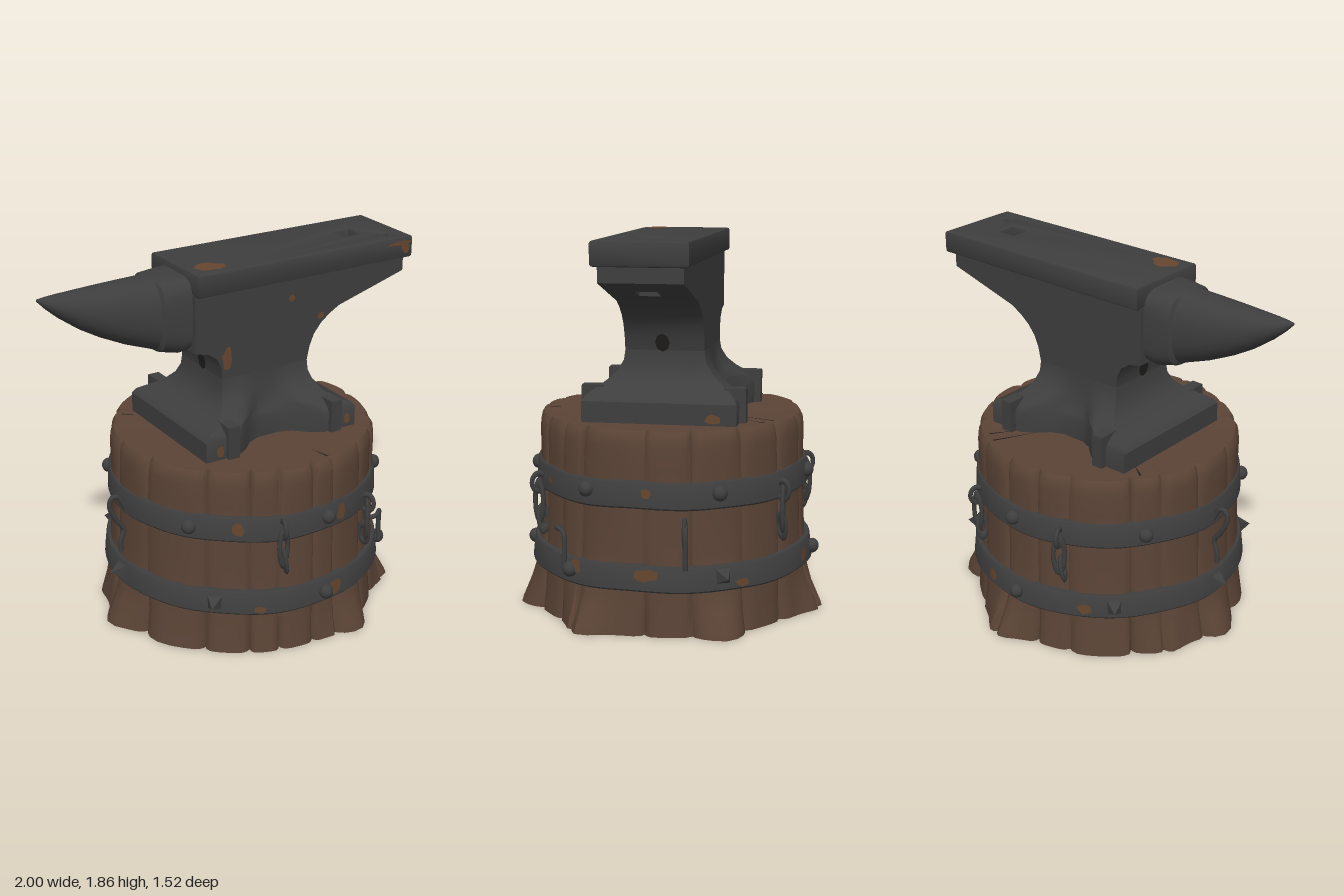
import * as THREE from 'three';
import { toCreasedNormals } from 'three/addons/utils/BufferGeometryUtils.js';

const V = (x, y, z) => new THREE.Vector3(x, y, z);
const rad = (d) => d * Math.PI / 180;
const outline = (pts) => pts.map((p) => new THREE.Vector2(...p));
const OVAL = 0.975; // the log is slightly narrower in depth

// Skin a list of equal-length rings, with both ends closed.
function loft(rings, crease = 0.6) {
  const n = rings[0].length, pos = [], idx = [];
  rings.forEach((r) => r.forEach((p) => pos.push(p.x, p.y, p.z)));
  const last = (rings.length - 1) * n;
  const ends = [rings[0], rings[rings.length - 1]].map((r) => {
    const c = r.reduce((a, p) => a.add(p), V(0, 0, 0)).divideScalar(n);
    pos.push(c.x, c.y, c.z);
    return pos.length / 3 - 1;
  });
  for (let j = 0; j < n; j++) {
    const k = (j + 1) % n;
    for (let i = 0; i < last; i += n) idx.push(i + j, i + k, i + n + k, i + j, i + n + k, i + n + j);
    idx.push(k, j, ends[0], last + j, last + k, ends[1]);
  }
  const g = new THREE.BufferGeometry();
  g.setAttribute('position', new THREE.Float32BufferAttribute(pos, 3));
  g.setIndex(idx);
  return toCreasedNormals(g, crease);
}

export function createModel() {
  const mat = (name, color) => new THREE.MeshStandardMaterial({ name, color });
  const wood = mat('wood', 0x5b4436), iron = mat('iron', 0x3e3e3e);
  const rust = mat('rust', 0x67472f), dark = mat('darkHollow', 0x1f1d1c);
  const model = new THREE.Group();
  const add = (parent, name, geo, m, x = 0, y = 0, z = 0) => {
    const mesh = new THREE.Mesh(geo, m);
    mesh.name = name;
    mesh.position.set(x, y, z);
    parent.add(mesh);
    return mesh;
  };
  let seed = 11;
  const rnd = () => (seed = (seed * 16807) % 2147483647) / 2147483647;

  // ---- Stump: broad bark staves, flaring into a few roots ----
  const stump = new THREE.Group();
  stump.name = 'stump';
  stump.position.x = 0.1;
  model.add(stump);
  const staves = Array.from({ length: 19 }, () => 0.5 + rnd());
  const total = staves.reduce((a, b) => a + b, 0);
  const samples = [];
  let start = 0;
  staves.forEach((w) => {
    const out = (rnd() - 0.5) * 0.014, foot = rnd() * 0.02;
    for (const u of [0, 0.04, 0.14, 0.3, 0.5, 0.7, 0.86, 0.96])
      samples.push({ a: (start + w * u) / total * Math.PI * 2, groove: Math.pow(Math.abs(2 * u - 1), 7), out, foot });
    start += w;
  });
  // roots: angle, reach
  const roots = [[172, 0.085], [120, 0.08], [64, 0.095], [20, 0.08], [-90, 0.075], [-118, 0.035], [-65, 0.02]];
  const rootFlare = (a) => Math.max(...roots.map(([d, reach]) => {
    const e = Math.atan2(Math.sin(a - rad(d)), Math.cos(a - rad(d)));
    return reach * Math.exp(-e * e / 0.022);
  }));
  // rows: height, radius, groove depth, root amount
  const barkRows = [[0, 0.708, 0.035, 1], [0.03, 0.706, 0.035, 0.92], [0.12, 0.7, 0.03, 0.5], [0.22, 0.698, 0.02, 0.1],
    [0.4, 0.69, 0.012, 0], [0.6, 0.683, 0.01, 0], [0.8, 0.68, 0.016, 0], [0.9, 0.681, 0.024, 0],
    [0.95, 0.675, 0.03, 0], [0.973, 0.66, 0.032, 0], [0.968, 0.6, 0.006, 0]];
  add(stump, 'barkedLog', loft(barkRows.map(([y, r, g, f]) => samples.map((s) => {
    const q = r + s.out - g * s.groove + f * (s.foot + rootFlare(s.a));
    return V(q * Math.sin(s.a), y, OVAL * q * Math.cos(s.a));
  })), 0.7), wood);

  // Splits in the cut face
  [[152, 0.26], [145, 0.13], [-125, 0.1], [10, 0.12]].forEach(([d, len]) => {
    const s = new THREE.Shape(outline([[-0.006, 0.62], [0.006, 0.62], [0, 0.62 - len]]));
    const crack = add(stump, 'split', new THREE.ShapeGeometry(s).rotateX(-Math.PI / 2), dark, 0, 0.974, 0);
    crack.rotation.y = rad(d) + Math.PI;
  });

  // ---- Iron hoops ----
  const hoop = (name, y0, y1, r0, r1) => {
    const p = [[r0 - 0.05, y0], [r0 - 0.006, y0], [r0, y0 + 0.008], [r1, y1 - 0.008], [r1 - 0.006, y1], [r1 - 0.05, y1], [r0 - 0.05, y0]];
    const g = new THREE.LatheGeometry(outline(p), 72);
    const a = g.attributes.position;
    for (let i = 0; i < a.count; i++) {
      const t = Math.atan2(a.getX(i), a.getZ(i));
      a.setY(i, a.getY(i) + 0.003 * Math.sin(5 * t) + 0.003 * Math.sin(9 * t + 1) - 0.006 * Math.sin(t));
      a.setZ(i, a.getZ(i) * OVAL);
    }
    add(stump, name, toCreasedNormals(g, 0.6), iron);
  };
  hoop('upperHoop', 0.615, 0.745, 0.703, 0.696);
  hoop('lowerHoop', 0.225, 0.348, 0.73, 0.718);

  // A frame on the stump wall: local +z points outward
  const onWall = (name, deg, y, r) => {
    const g = new THREE.Group();
    g.name = name;
    g.rotation.y = rad(deg);
    g.position.set(r * Math.sin(rad(deg)), y, OVAL * r * Math.cos(rad(deg)));
    stump.add(g);
    return g;
  };
  const rivet = (deg, y, r) => add(onWall('rivet', deg, y, r), 'rivetHead', new THREE.SphereGeometry(0.037, 14, 10).scale(1, 1, 0.9), iron);
  [6, 64, 119, 177, 235, 307].forEach((d) => rivet(d, 0.685, 0.705));
  [4, 57, 180].forEach((d) => rivet(d, 0.285, 0.735));
  [-42, -90, -138, 120].forEach((d) => {
    const spike = new THREE.ConeGeometry(0.052, 0.07, 4).rotateY(Math.PI / 4).rotateX(Math.PI / 2);
    add(onWall('spike', d, 0.29, 0.752), 'spikeHead', toCreasedNormals(spike, 0.3), iron);
  });

  // Chains: a staple ring with hanging long links
  const link = (w, h, t) => new THREE.TorusGeometry(w, t, 7, 18).scale(1, h / w, 1);
  [[-15, 0.04], [31, 0], [149, 0.01], [200, 0.02]].forEach(([d, lift]) => {
    const c = onWall('chain', d, lift, 0.705);
    add(c, 'staple', link(0.036, 0.045, 0.012).rotateY(Math.PI / 2), iron, 0, 0.645, 0.015);
    add(c, 'longLink', link(0.028, 0.085, 0.012).rotateY(0.5), iron, 0, 0.55, 0.015);
    add(c, 'looseLink', link(0.024, 0.055, 0.011).rotateY(1.6).rotateZ(0.15), iron, 0.012, 0.465, 0);
  });
  const hook = (d, r, pts) => add(onWall('hook', d, 0, r), 'bentRod',
    new THREE.TubeGeometry(new THREE.CatmullRomCurve3(pts.map((p) => V(...p))), 24, 0.013, 7), iron);
  hook(-90, 0.69, [[0, 0.64, 0], [0, 0.71, 0.04], [0, 0.71, 0.075], [0, 0.66, 0.085], [0, 0.58, 0.05], [0, 0.52, 0.01], [0, 0.46, 0.03], [0, 0.4, 0.03]]);
  hook(53, 0.7, [[-0.07, 0.455, -0.01], [-0.06, 0.465, 0.02], [-0.005, 0.465, 0.035], [0.012, 0.445, 0.035], [0.015, 0.36, 0.035], [0.01, 0.28, 0.04]]);
  hook(105, 0.69, [[0, 0.57, -0.02], [0, 0.525, 0.035], [0, 0.49, 0.045], [0, 0.4, 0.04], [0, 0.33, 0.035]]);
  add(onWall('hook', 105, 0.5, 0.705), 'eyeLink', link(0.022, 0.055, 0.011).rotateY(1.3), iron);

  // ---- Anvil ----
  const anvil = new THREE.Group();
  anvil.name = 'anvil';
  model.add(anvil);

  // Foot and lower waist; rows: y, x min, x max, half depth, hollow in the long sides
  const footRows = [[0.965, -0.33, 0.55, 0.375, 0.125], [1.07, -0.33, 0.55, 0.375, 0.125], [1.095, -0.31, 0.53, 0.36, 0.12],
    [1.12, -0.23, 0.455, 0.325, 0.1], [1.16, -0.18, 0.41, 0.272, 0.06], [1.2, -0.15, 0.385, 0.23, 0.025],
    [1.25, -0.135, 0.372, 0.202, 0.005], [1.3, -0.13, 0.37, 0.195, 0]];
  add(anvil, 'foot', loft(footRows.map(([y, x0, x1, h, d]) => {
    const ring = [], N = 14;
    for (const side of [1, -1]) {
      for (let i = 0; i < N; i++) {
        const s = side > 0 ? i / N : 1 - i / N;
        const dent = d * THREE.MathUtils.smoothstep(0.5 - Math.abs(s - 0.5), 0.2, 0.42);
        ring.push(V(x0 + (x1 - x0) * s, y, side * (h - dent)));
      }
      for (let i = 0; i < 6; i++) ring.push(V(side > 0 ? x1 : x0, y, side * h * (1 - i / 3)));
    }
    return ring;
  }), 0.65), iron, 0, 0, -0.01);

  // Waist, cut from its front profile
  const waist = [[0.56, 1.75], [0.56, 1.555], [0.5, 1.52], [0.45, 1.48], [0.41, 1.43], [0.385, 1.37], [0.37, 1.3], [-0.13, 1.3],
    [-0.135, 1.36], [-0.16, 1.41], [-0.21, 1.445], [-0.28, 1.46], [-0.28, 1.75]];
  add(anvil, 'waist', toCreasedNormals(new THREE.ExtrudeGeometry(new THREE.Shape(outline(waist)),
    { depth: 0.39, bevelEnabled: false }), 0.6), iron, 0, 0, -0.205);

  // Heel, pierced by the square hole, with its underside rising toward the end
  const squareHole = () => new THREE.Path(outline([[0.68, -0.05], [0.68, 0.05], [0.78, 0.05], [0.78, -0.05]]));
  const heelPlan = new THREE.Shape(outline([[0.56, -0.185], [0.955, -0.185], [0.955, 0.205], [0.56, 0.205]]));
  heelPlan.holes.push(squareHole());
  const heel = new THREE.ExtrudeGeometry(heelPlan, { depth: 1, bevelEnabled: false }).rotateX(-Math.PI / 2);
  const hp = heel.attributes.position;
  for (let i = 0; i < hp.count; i++) hp.setY(i, hp.getY(i) > 0.5 ? 1.755 : 1.555 + 0.295 * (hp.getX(i) - 0.56));
  add(anvil, 'heel', toCreasedNormals(heel, 0.4), iron);

  // Face plate with its square and round holes
  const plate = new THREE.Shape(outline([[-0.28, -0.22], [0.985, -0.215], [0.995, 0.23], [-0.28, 0.23]]));
  plate.holes.push(squareHole(), new THREE.Path().absarc(0.865, -0.12, 0.027, 0, Math.PI * 2, true));
  add(anvil, 'facePlate', toCreasedNormals(new THREE.ExtrudeGeometry(plate,
    { depth: 0.09, bevelThickness: 0.013, bevelSize: 0.014, bevelOffset: -0.014, bevelSegments: 2, curveSegments: 8 })
    .rotateX(-Math.PI / 2), 0.5), iron, 0, 1.757, -0.002);
  add(anvil, 'roundHoleFloor', new THREE.CircleGeometry(0.027, 16).rotateX(-Math.PI / 2), dark, 0.865, 1.8, 0.118);

  // Horn; rows: x, top, bottom, half width, squareness
  const hornRows = [[-1, 1.812, 1.8, 0.005, 1], [-0.96, 1.815, 1.758, 0.03, 1], [-0.9, 1.818, 1.705, 0.056, 1],
    [-0.8, 1.82, 1.632, 0.088, 0.95], [-0.7, 1.822, 1.575, 0.112, 0.9], [-0.57, 1.824, 1.515, 0.132, 0.85], [-0.43, 1.825, 1.465, 0.147, 0.8],
    [-0.42, 1.825, 1.46, 0.165, 0.6], [-0.33, 1.828, 1.443, 0.172, 0.5], [-0.27, 1.828, 1.46, 0.175, 0.45]];
  add(anvil, 'horn', loft(hornRows.map(([x, t, b, w, e]) => Array.from({ length: 32 }, (_, i) => {
    const a = i / 16 * Math.PI, c = Math.cos(a), s = Math.sin(a);
    const k = (v) => Math.sign(v) * Math.pow(Math.abs(v), e);
    return V(x, (t + b) / 2 + (t - b) / 2 * k(c), w * k(s));
  })), 0.7), iron, 0, 0, -0.01);

  // Hold-down clamps and the handling holes in the waist ends
  for (const x of [-0.185, 0.42]) for (const s of [1, -1]) {
    add(anvil, 'clampTop', new THREE.BoxGeometry(0.062, 0.06, 0.105), iron, x, 1.105, s * 0.347 - 0.015);
    add(anvil, 'clampLeg', new THREE.BoxGeometry(0.062, 0.165, 0.035), iron, x, 1.0475, s * 0.385 - 0.015);
  }
  for (const [x, s, tilt] of [[0.383, 1, -0.21], [-0.136, -1, 0.08]])
    add(anvil, 'handlingHole', new THREE.CircleGeometry(0.04, 8).scale(0.9, 1.15, 1).rotateY(s * Math.PI / 2).rotateZ(tilt), dark, x, 1.338, 0);

  // ---- Rust patches ----
  const blob = (w, h) => {
    const g = new THREE.CircleGeometry(1, 11), a = g.attributes.position;
    for (let i = 1; i < a.count - 1; i++) {
      const k = 0.75 + 0.4 * rnd();
      a.setXY(i, a.getX(i) * k, a.getY(i) * k);
    }
    a.setXY(a.count - 1, a.getX(1), a.getY(1));
    return g.scale(w, h, 1);
  };
  add(anvil, 'rustPatch', blob(0.075, 0.055).rotateX(-Math.PI / 2), rust, -0.165, 1.863, 0.12);
  [[0.9, 1.83, 0.22, 0.08, 0.012], [0.94, 1.805, 0.22, 0.025, 0.03], [0.27, 1.645, 0.187, 0.018, 0.018], [-0.1, 1.4, 0.187, 0.03, 0.06],
    [0.45, 1.52, 0.187, 0.02, 0.02], [-0.25, 1.01, 0.367, 0.02, 0.03], [0.5, 1.015, 0.367, 0.02, 0.03]]
    .forEach(([x, y, z, w, h]) => add(anvil, 'rustPatch', blob(w, h), rust, x, y, z));
  add(anvil, 'rustPatch', blob(0.04, 0.025).rotateY(Math.PI / 2), rust, 0.554, 1.0, -0.27);
  // angle, height, radius, half width, half height
  [[-33, 0.69, 0.706, 0.035, 0.035], [13, 0.685, 0.706, 0.03, 0.05], [41, 0.68, 0.706, 0.015, 0.015], [90, 0.69, 0.706, 0.03, 0.022],
    [8, 0.285, 0.733, 0.055, 0.045], [-24, 0.255, 0.733, 0.03, 0.02], [60, 0.31, 0.733, 0.035, 0.035], [90, 0.305, 0.733, 0.06, 0.03],
    [128, 0.25, 0.733, 0.04, 0.02], [-150, 0.28, 0.733, 0.04, 0.03], [165, 0.29, 0.733, 0.035, 0.035]].forEach(([d, y, r, w, h]) => {
    const g = blob(w, h), a = g.attributes.position;
    for (let i = 0; i < a.count; i++) {
      const t = rad(d) + a.getX(i) / r;
      a.setXYZ(i, r * Math.sin(t), y + a.getY(i), OVAL * r * Math.cos(t));
    }
    g.computeVertexNormals();
    add(stump, 'rustPatch', g, rust);
  });
  return model;
}
